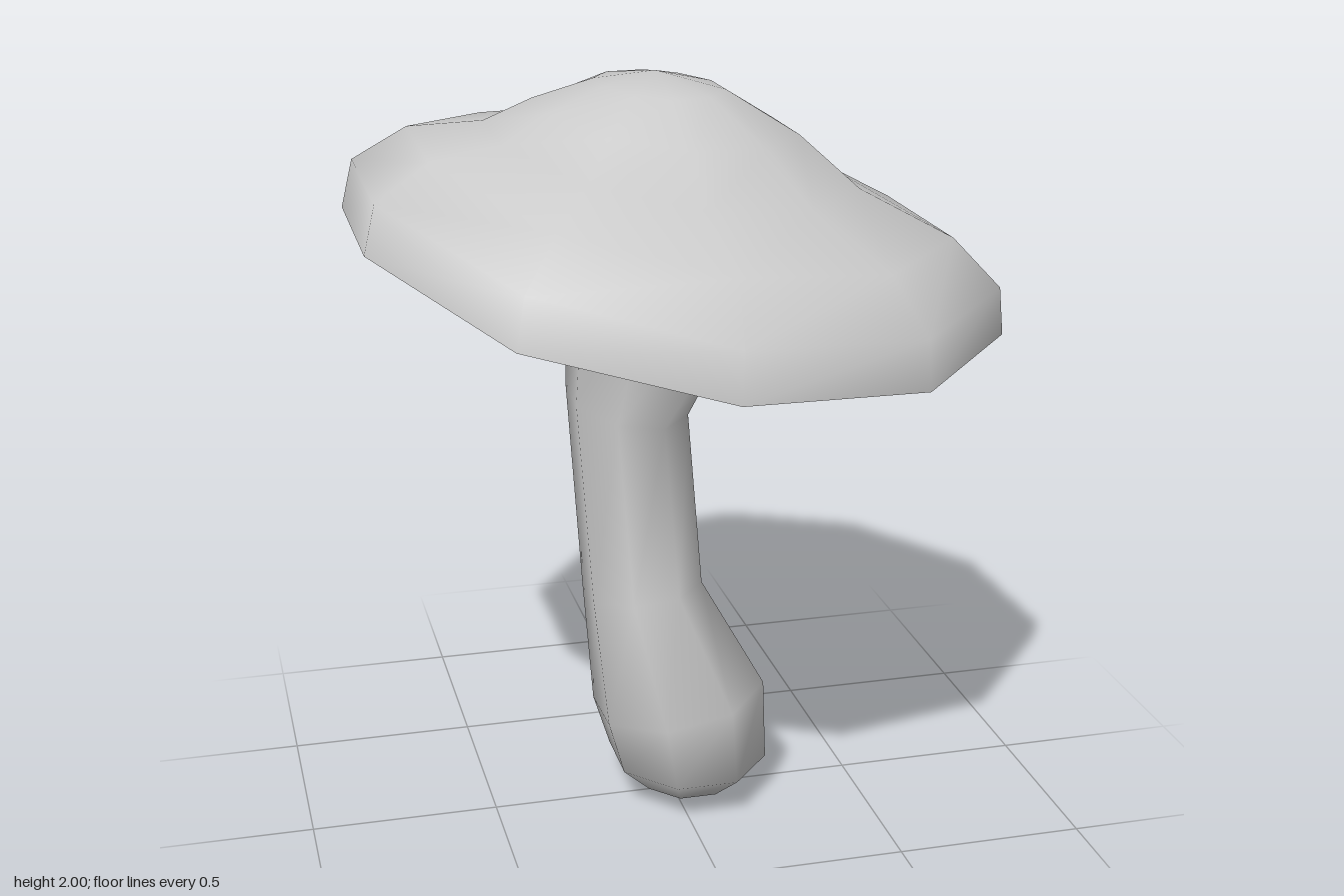
import * as THREE from 'three';

// Lofts tilted rings from bottom to top. ring = [cx, y, cz, rx, rz, slopeX, slopeZ].
// outline = unit [x, z, lift] points; the lift fades towards narrow rings.
// Optional poles close the lower and upper ends.
function loft(outline, rings, bottomPole, topPole) {
  const n = outline.length, pos = [], idx = [];
  for (const [cx, y, cz, rx, rz, sx, sz] of rings) {
    for (const [ux, uz, lift] of outline) {
      const dx = ux * rx, dz = uz * rz;
      pos.push(cx + dx, y + sx * dx + sz * dz + lift * (rx / 0.82) ** 2, cz + dz);
    }
  }
  for (let j = 0; j < rings.length - 1; j++) {
    for (let i = 0; i < n; i++) {
      const a = j * n + i, b = j * n + (i + 1) % n;
      idx.push(a, a + n, b, b, a + n, b + n);
    }
  }
  if (bottomPole) {
    const c = pos.length / 3;
    pos.push(...bottomPole);
    for (let i = 0; i < n; i++) idx.push(c, i, (i + 1) % n);
  }
  if (topPole) {
    const c = pos.length / 3, o = (rings.length - 1) * n;
    pos.push(...topPole);
    for (let i = 0; i < n; i++) idx.push(c, o + (i + 1) % n, o + i);
  }
  const g = new THREE.BufferGeometry();
  g.setAttribute('position', new THREE.Float32BufferAttribute(pos, 3));
  g.setIndex(idx);
  g.computeVertexNormals();
  return g;
}

export function createModel() {
  const group = new THREE.Group();
  const add = (name, geometry, side = THREE.FrontSide) => {
    const mesh = new THREE.Mesh(geometry, new THREE.MeshStandardMaterial({ color: 0xcccccc, side }));
    mesh.name = name;
    group.add(mesh);
  };

  // Slightly uneven, wavy ten-sided cap outline, starting at the back
  const capOutline = [
    [-0.01, -1, -0.025], [0.565, -0.83, -0.04], [0.955, -0.33, -0.01], [0.99, 0.315, 0.03],
    [0.565, 0.82, 0.005], [-0.05, 0.99, -0.024], [-0.645, 0.82, -0.003], [-0.99, 0.27, 0.035],
    [-0.99, -0.33, 0], [-0.625, -0.83, -0.03],
  ];
  const rim = [0, 1.475, 0, 0.82, 0.82, -0.18, -0.085];

  // Domed cap, leaning down towards +x
  add('cap', loft(capOutline, [
    rim,
    [0.01, 1.6, 0, 0.8, 0.8, -0.185, -0.087],
    [0.02, 1.712, 0, 0.67, 0.68, -0.19, -0.078],
    [0, 1.788, -0.01, 0.46, 0.46, -0.165, -0.07],
    [-0.01, 1.885, -0.03, 0.325, 0.34, -0.12, -0.05],
    [-0.02, 1.965, -0.055, 0.16, 0.2, -0.06, -0.02],
  ], null, [-0.03, 2, -0.06]));

  // Nearly flat underside, separate so the rim stays sharp
  add('underside', loft(capOutline, [rim], [0, 1.52, 0]));

  // Bent eight-sided stem with flat sides front and back, and a rounded bulb at its foot
  const stemOutline = Array.from({ length: 8 }, (_, i) => {
    const a = (i + 0.5) * Math.PI / 4, r = 1 / Math.cos(Math.PI / 8);
    return [r * Math.sin(a), -r * Math.cos(a), 0];
  });
  add('stem', loft(stemOutline, [
    [0.04, 0.03, 0, 0.12, 0.13, 0, 0],
    [0.04, 0.115, 0.005, 0.2, 0.225, 0, 0],
    [0.008, 0.31, 0.025, 0.215, 0.245, 0.18, 0.06],
    [-0.094, 0.64, 0.037, 0.147, 0.172, 0.1, 0.09],
    [-0.11, 1.135, -0.06, 0.15, 0.17, -0.16, -0.15],
    [-0.012, 1.55, -0.015, 0.238, 0.25, -0.18, -0.085],
  ], [0.04, 0, 0]), THREE.DoubleSide);

  return group;
}
